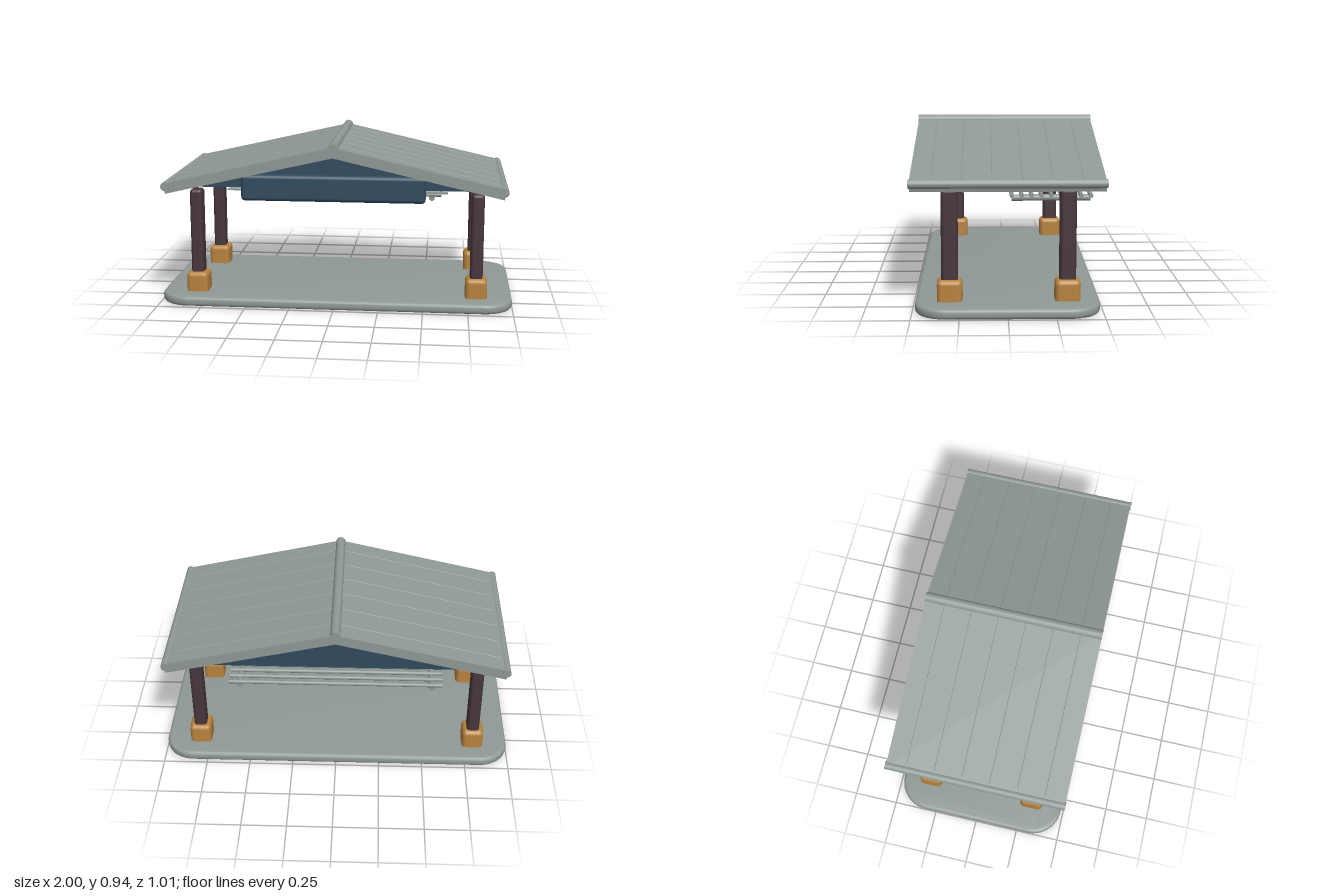
import * as THREE from 'three';
import { RoundedBoxGeometry } from 'three/addons/geometries/RoundedBoxGeometry.js';
import { toCreasedNormals } from 'three/addons/utils/BufferGeometryUtils.js';

const material = (name, color) => Object.assign(new THREE.MeshStandardMaterial({ color }), { name });

export function createModel() {
  const model = new THREE.Group();
  model.name = 'pavilion';
  const stone = material('grey stone', 0x8f9996);
  const blue = material('slate blue', 0x304a5e);
  const wood = material('ochre wood', 0xb8833f);
  const plum = material('dark plum', 0x46363d);

  const add = (name, geometry, mat, x = 0, y = 0, z = 0) => {
    const mesh = new THREE.Mesh(geometry, mat);
    mesh.name = name;
    mesh.position.set(x, y, z);
    model.add(mesh);
    return mesh;
  };
  const rodX = (r, length) => new THREE.CylinderGeometry(r, r, length, 16).rotateZ(Math.PI / 2);
  const rodZ = (r, length) => new THREE.CylinderGeometry(r, r, length, 16).rotateX(Math.PI / 2);
  const polygon = (points) => new THREE.Shape(points.map(([x, y]) => new THREE.Vector2(x, y)));
  // Extrude an x-y outline, centred on z = 0
  const prism = (points, depth) =>
    new THREE.ExtrudeGeometry(polygon(points), { depth, bevelEnabled: false }).translate(0, 0, -depth / 2);

  // Floor slab with rounded corners and softened edges
  const bevel = 0.018, w = 1 - bevel, d = 0.485 - bevel, r = 0.15;
  const outline = new THREE.Shape();
  outline.absarc(w - r, d - r, r, 0, Math.PI / 2);
  outline.absarc(-w + r, d - r, r, Math.PI / 2, Math.PI);
  outline.absarc(-w + r, -d + r, r, Math.PI, Math.PI * 1.5);
  outline.absarc(w - r, -d + r, r, Math.PI * 1.5, Math.PI * 2);
  const slab = new THREE.ExtrudeGeometry(outline, {
    depth: 0.055 - 2 * bevel, bevelThickness: bevel, bevelSize: bevel, bevelSegments: 3, curveSegments: 8,
  });
  slab.rotateX(-Math.PI / 2).translate(0, bevel, 0);
  add('floorSlab', toCreasedNormals(slab, 0.6), stone);

  // Four posts on wooden footings
  for (const x of [-0.796, 0.796]) {
    for (const z of [0.303, -0.316]) {
      add('footing', new RoundedBoxGeometry(0.123, 0.137, 0.134, 3, 0.026), wood, x, 0.0985, z);
      add('post', new RoundedBoxGeometry(0.072, 0.52, 0.088, 3, 0.02), plum, x, 0.388, z);
    }
  }

  // Gabled roof slab, with a closed ceiling and gable ends below it
  const ridgeY = 0.923, eaveX = 0.945, eaveY = 0.708;
  add('roof', prism([
    [0, ridgeY], [-eaveX, eaveY], [-0.931, 0.652], [0, 0.865], [0.931, 0.652], [eaveX, eaveY],
  ], 1), stone);
  add('gableCeiling', prism([[-0.79, 0.69], [0.79, 0.69], [0, 0.87]], 0.94), blue);

  // Ridge cap and eave rolls
  add('ridgeCap', rodZ(0.028, 1.006), stone, 0, 0.916, 0);
  for (const side of [-1, 1]) add('eaveRoll', rodZ(0.024, 1.012), stone, side * 0.931, 0.693, 0);

  // Standing seams, sunk almost flush in both slopes
  const slope = Math.atan2(ridgeY - eaveY, eaveX);
  for (const side of [-1, 1]) {
    for (let i = 0; i < 6; i++) {
      const x = 0.465;
      const seam = add('roofSeam', rodX(0.007, 0.9), stone,
        side * x, ridgeY - x * Math.tan(slope) - 0.005, 0.389 - i * 0.155);
      seam.rotation.z = -side * slope;
    }
  }

  // Front sign board and the slim rail behind it
  add('frontBoard', new RoundedBoxGeometry(1.014, 0.147, 0.087, 3, 0.022), blue, 0, 0.6935, 0.4565);
  add('ceilingRail', new THREE.BoxGeometry(1.257, 0.008, 0.022), stone, 0, 0.634, 0.245);

  // Slatted rack hanging at the back
  for (let i = 0; i < 9; i++) {
    add('rackSlat', rodX(0.0115, 1.186), stone, 0, 0.568, -0.028 - i * 0.0535);
  }
  for (const side of [-1, 1]) add('rackBearer', rodZ(0.018, 0.43), stone, side * 0.535, 0.549, -0.242);

  return model;
}
